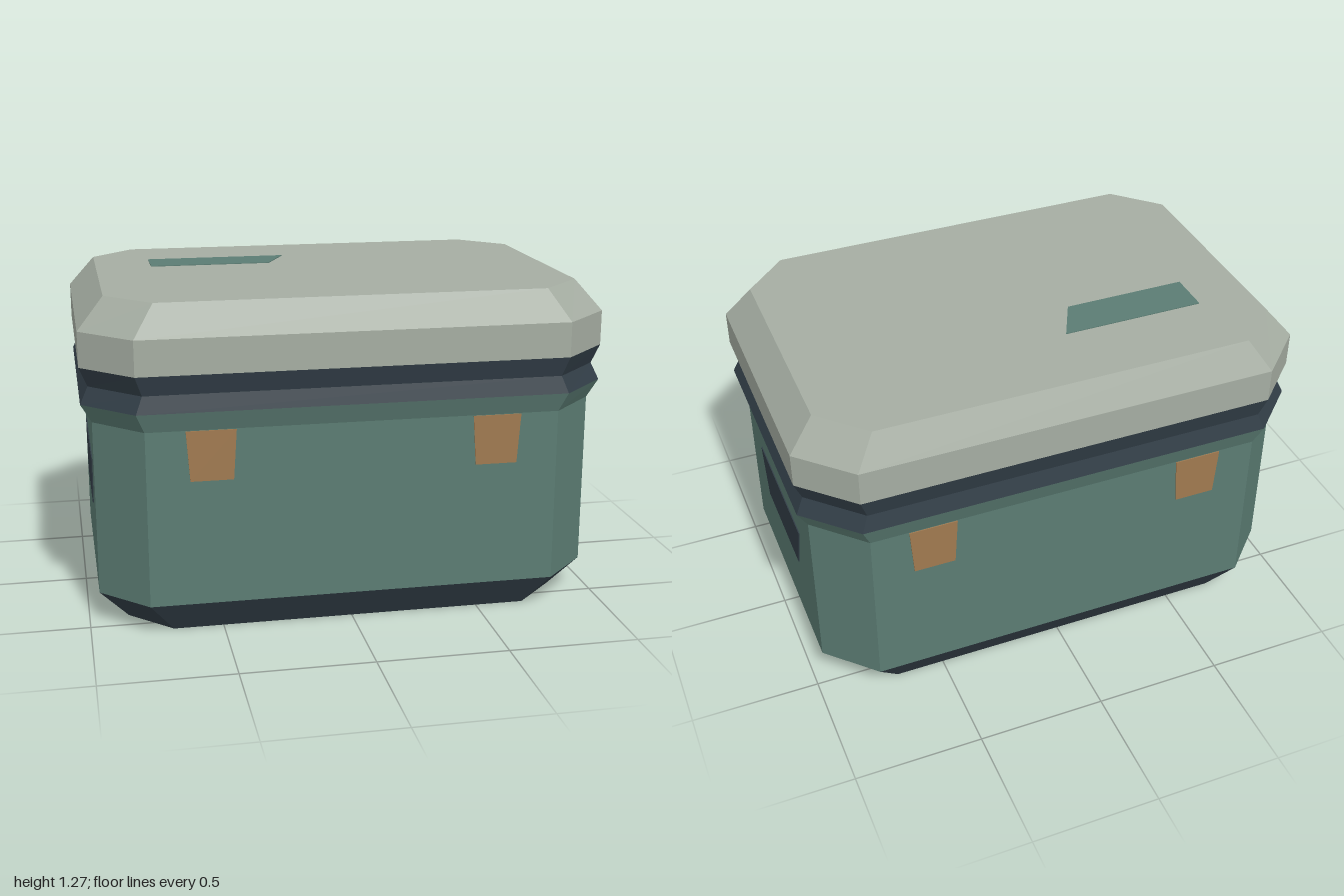
import * as THREE from 'three';

const paint = (name, color) => {
  const m = new THREE.MeshStandardMaterial({ color });
  m.name = name;
  return m;
};

// Chamfered-rectangle cross-section: half sizes hx, hz and half lengths fx, fz of the straight sides
const ring = ([y, hx, hz, fx, fz]) => [
  [fx, hz], [hx, fz], [hx, -fz], [fx, -hz], [-fx, -hz], [-hx, -fz], [-hx, fz], [-fx, hz],
].map(([x, z]) => [x, y, z]);

// Flat-faced shell through a stack of sections, with optional end caps
function shell(name, sections, material, { bottom = false, top = false } = {}) {
  const rings = sections.map(ring);
  const pos = [];
  const tri = (...pts) => pts.forEach((p) => pos.push(...p));
  for (let i = 0; i < rings.length - 1; i++) {
    const lo = rings[i], hi = rings[i + 1];
    for (let k = 0; k < 8; k++) {
      const n = (k + 1) % 8;
      tri(lo[k], lo[n], hi[n]);
      tri(lo[k], hi[n], hi[k]);
    }
  }
  const last = rings[rings.length - 1];
  for (let k = 1; k < 7; k++) {
    if (bottom) tri(rings[0][0], rings[0][k + 1], rings[0][k]);
    if (top) tri(last[0], last[k], last[k + 1]);
  }
  const geo = new THREE.BufferGeometry();
  geo.setAttribute('position', new THREE.Float32BufferAttribute(pos, 3));
  geo.computeVertexNormals();
  const mesh = new THREE.Mesh(geo, material);
  mesh.name = name;
  return mesh;
}

// Thin plate cut from an outline, facing +z
function plate(name, outline, material) {
  const shape = new THREE.Shape(outline.map(([x, y]) => new THREE.Vector2(x, y)));
  const geo = new THREE.ExtrudeGeometry(shape, { depth: 0.004, bevelEnabled: false });
  const mesh = new THREE.Mesh(geo, material);
  mesh.name = name;
  return mesh;
}

export function createModel() {
  const green = paint('body green', 0x5b7c73);
  const navy = paint('dark trim', 0x323e47);
  const grey = paint('lid grey', 0xa5ada2);
  const orange = paint('latch orange', 0xa07a50);

  const foot = [0, 0.85, 0.57, 0.69, 0.41];
  const low = [0.125, 0.96, 0.643, 0.78, 0.463];
  const high = [0.8, 0.96, 0.643, 0.78, 0.463];
  const flare = [0.873, 1, 0.667, 0.81, 0.48];
  const groove = [0.938, 0.97, 0.65, 0.785, 0.467];
  const rim = [1.012, 1, 0.667, 0.81, 0.48];
  const shoulder = [1.146, 1, 0.667, 0.81, 0.48];
  const crown = [1.265, 0.9, 0.603, 0.733, 0.435];

  const model = new THREE.Group();
  model.name = 'storageChest';
  model.add(
    shell('base', [foot, low], navy, { bottom: true }),
    shell('body', [low, high, flare], green),
    shell('seal', [flare, groove, rim], navy),
    shell('lid', [rim, shoulder, crown], grey, { top: true }),
  );

  // Latches on front and back, handle plates on both ends
  for (const s of [1, -1]) {
    const face = new THREE.Group();
    face.name = s > 0 ? 'frontLatches' : 'backLatches';
    face.rotation.y = s > 0 ? 0 : Math.PI;
    for (const x of [-0.54, 0.54]) {
      const latch = plate('latch', [[-0.08, 0.607], [0.08, 0.607], [0.093, 0.798], [-0.093, 0.798]], orange);
      latch.position.set(x, 0, 0.643);
      face.add(latch);
    }
    model.add(face);

    const handle = plate(s > 0 ? 'leftHandle' : 'rightHandle',
      [[-0.222, 0.405], [0.222, 0.405], [0.282, 0.608], [-0.282, 0.608]], navy);
    handle.rotation.y = s * Math.PI / 2;
    handle.position.x = s * 0.96;
    model.add(handle);
  }

  // Slanted label on the lid
  const label = plate('lidLabel', [[-0.68, 0.147], [-0.2, 0.147], [-0.12, 0.312], [-0.68, 0.312]], green);
  label.rotation.x = -Math.PI / 2;
  label.position.y = 1.264;
  model.add(label);

  return model;
}
